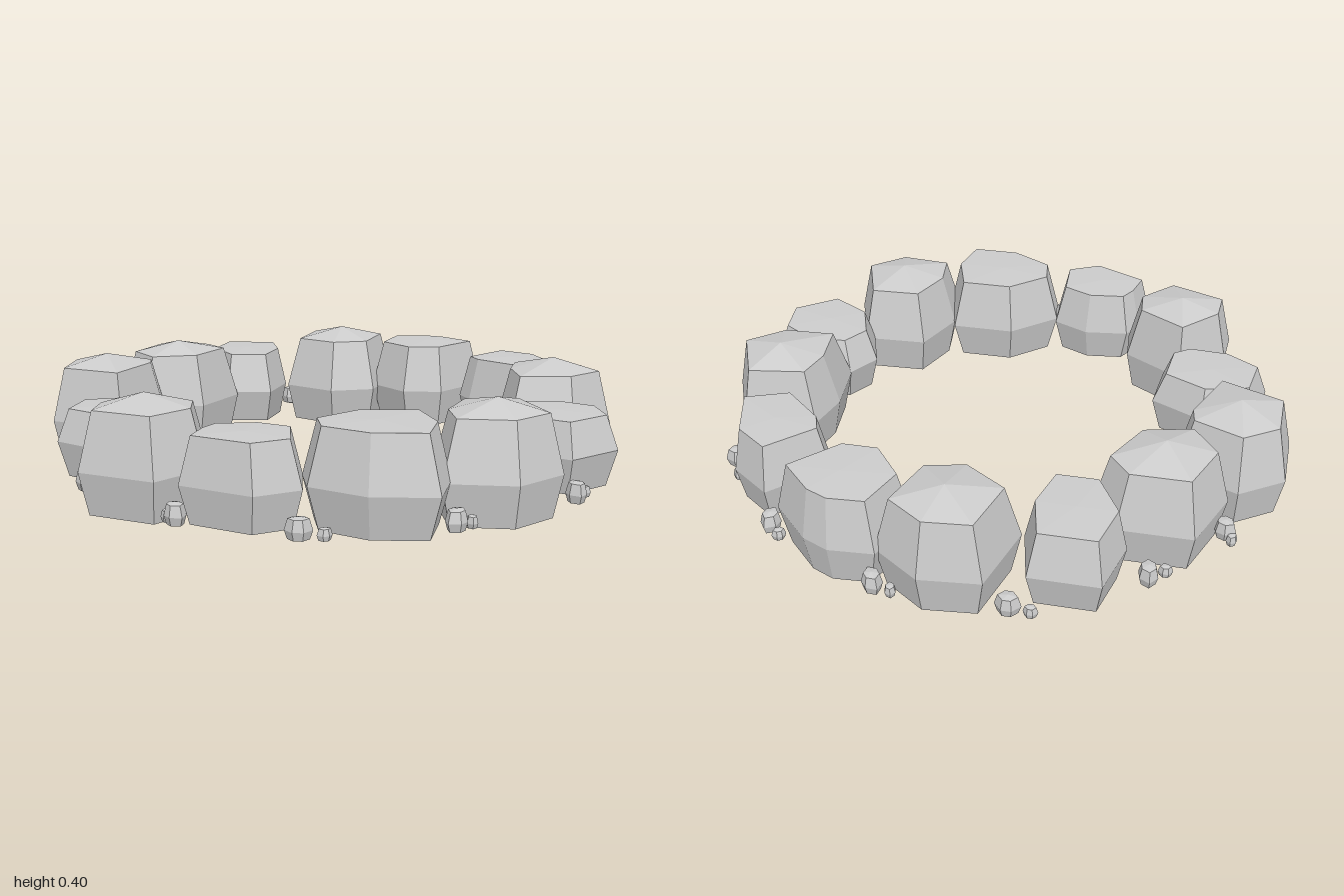
import * as THREE from 'three';

const material = new THREE.MeshStandardMaterial({ color: 0xcccccc, flatShading: true });

// Faceted stone: a plan outline [x, z, x, z, ...] in hundredths, scaled along a profile of [scale, y] rings
function stone(name, cx, cz, outline, profile) {
  const n = outline.length / 2;
  const at = (ring, i) => {
    const [s, y] = profile[ring], k = (i % n) * 2;
    return [outline[k] / 100 * s, y, outline[k + 1] / 100 * s];
  };
  const pos = [];
  for (let r = 0; r < profile.length - 1; r++) {
    for (let i = 0; i < n; i++) {
      if (profile[r][0] > 0) pos.push(...at(r, i), ...at(r + 1, i), ...at(r, i + 1));
      if (profile[r + 1][0] > 0) pos.push(...at(r, i + 1), ...at(r + 1, i), ...at(r + 1, i + 1));
    }
  }
  const geometry = new THREE.BufferGeometry();
  geometry.setAttribute('position', new THREE.Float32BufferAttribute(pos, 3));
  geometry.computeVertexNormals();
  const mesh = new THREE.Mesh(geometry, material);
  mesh.name = name;
  mesh.position.set(cx, 0, cz);
  return mesh;
}

// Tall boulder with a shallow peak
const peaked = (x, z, outline) => stone('peakedBoulder', x, z, outline,
  [[0, 0], [0.86, 0.028], [1, 0.17], [0.77, 0.36], [0, 0.4]]);

// Lower boulder with a nearly flat top
const flat = (x, z, h, outline) => {
  const base = h > 0.34 ? 0.02 : 0.037;
  return stone('flatBoulder', x, z, outline,
    [[0, base], [0.84, base + 0.015], [1, 0.175], [0.8, h - 0.005], [0, h]]);
};

// Small six-sided pebble
function pebble(x, z, r, y, turn) {
  const outline = [];
  for (let i = 0; i < 6; i++) {
    const a = turn + i * Math.PI / 3, k = r * (i % 3 === 0 ? 115 : 92);
    outline.push(Math.cos(a) * k, Math.sin(a) * k);
  }
  return stone('pebble', x, z, outline,
    [[0, y - r], [0.78, y - r * 0.85], [1, y - r * 0.1], [0.75, y + r * 0.85], [0, y + r]]);
}

export function createModel() {
  const model = new THREE.Group();
  model.name = 'stoneRing';

  // Boulders around the ring, clockwise from the back
  model.add(
    peaked(0.03, -0.77, [-15, -16, 5, -18, 21, -7, 13, 17, -4, 21, -22, 9]),
    flat(0.38, -0.71, 0.355, [-15, -16, 0, -17, 9, -13, 22, 0, 5, 18, -10, 18, -22, 3]),
    flat(0.69, -0.45, 0.335, [-2, -20, 12, -10, 19, 13, 1, 20, -16, 5, -19, -3]),
    peaked(0.8, -0.09, [-16, -14, 9, -18, 20, 7, 5, 20, -18, 21, -20, 1]),
    flat(0.75, 0.29, 0.295, [-13, -18, 4, -19, 18, -10, 20, 7, 3, 20, -14, 10, -20, -7]),
    peaked(0.53, 0.575, [-12, -19, 11, -20, 20, 6, 5, 19, -18, 17, -20, 0]),
    flat(0.16, 0.71, 0.36, [-7, -18, 16, -18, 22, 1, 18, 19, -3, 19, -21, 9, -23, -4]),
    flat(-0.24, 0.745, 0.33, [-12, -14, 4, -16, 17, -10, 18, 9, 4, 16, -19, 5, -16, -7]),
    peaked(-0.57, 0.53, [-2, -20, 19, -7, 20, 7, 6, 22, -19, 12, -18, -3]),
    flat(-0.71, 0.22, 0.29, [-17, -11, 2, -16, 20, -7, 18, 12, 11, 17, -6, 16, -20, 7]),
    peaked(-0.82, -0.13, [-2, -21, 19, -12, 20, -4, 9, 22, -18, 11, -17, -11]),
    peaked(-0.6, -0.41, [-12, -19, 13, -19, 22, -8, 11, 13, -10, 18, -21, 3]),
    flat(-0.36, -0.7, 0.325, [-11, -18, 12, -18, 16, 1, 11, 19, -6, 19, -16, 1]),
  );

  // Pebble pairs around the outside: larger x, z, then smaller x, z
  const pairs = [
    [-0.19, -0.9, -0.26, -0.9], [0.24, -0.885, 0.18, -0.895],
    [0.65, -0.67, 0.61, -0.71], [0.89, -0.355, 0.86, -0.43],
    [0.915, 0.15, 0.865, -0.27], [0.79, 0.52, 0.825, 0.45],
    [0.39, 0.81, 0.44, 0.77], [-0.07, 0.9, 0.005, 0.895],
    [-0.445, 0.77, -0.475, 0.735], [-0.79, 0.415, -0.765, 0.48],
    [-0.88, 0.075, -0.9, 0.04], [-0.81, -0.41, -0.835, -0.44],
    [-0.59, -0.68, -0.64, -0.635],
  ];
  pairs.forEach(([x, z, sx, sz], i) => {
    model.add(pebble(x, z, 0.037, 0.08, i * 0.9), pebble(sx, sz, 0.021, 0.062, i * 1.3));
  });
  return model;
}
